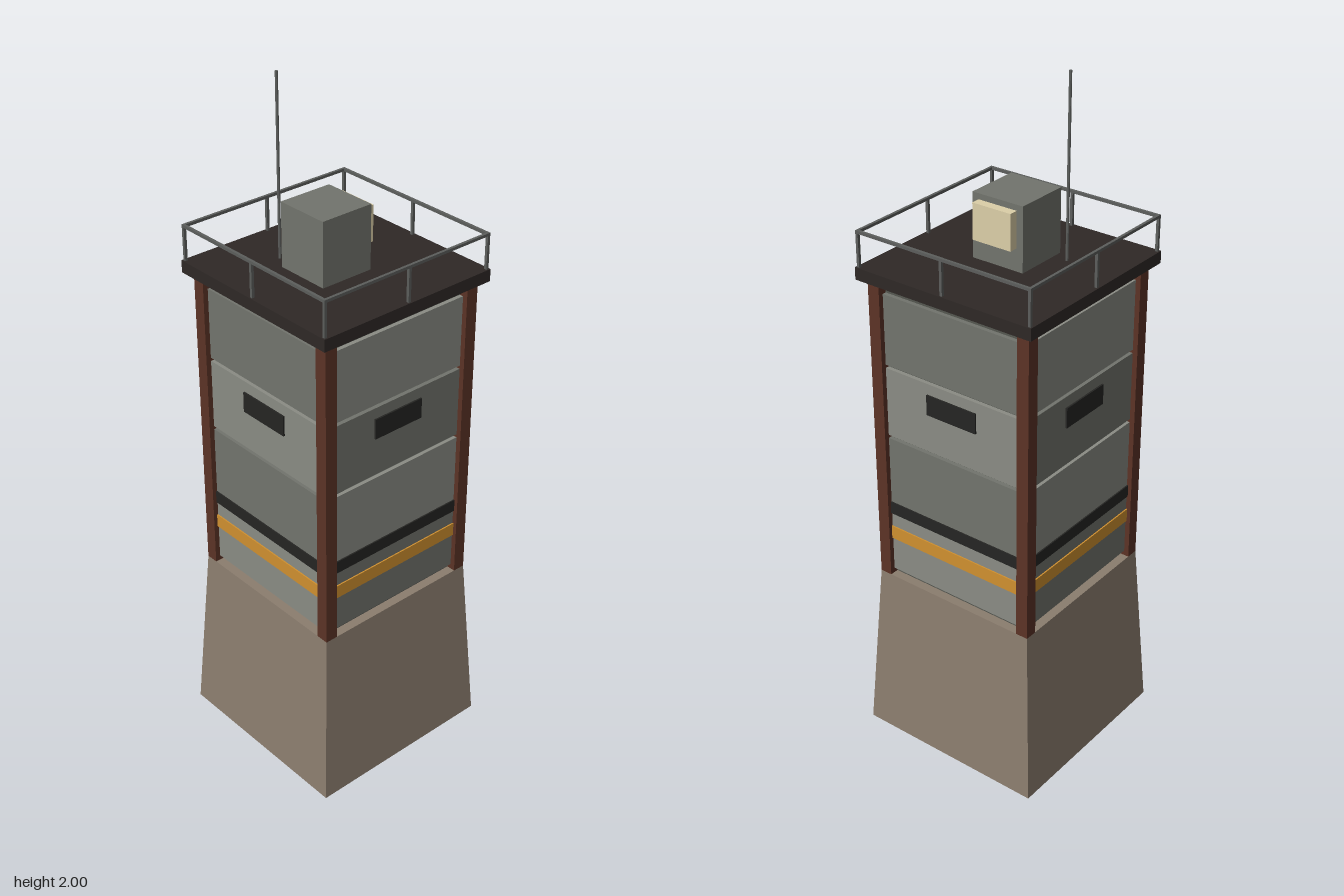
import * as THREE from 'three';

const mat = (color) => new THREE.MeshStandardMaterial({ color, flatShading: true });
const M = {
  stone: mat(0x8b7d6e), rust: mat(0x5c3326), roof: mat(0x2e2826), light: mat(0x8a8c84),
  grey: mat(0x72746d), seam: mat(0x555751), black: mat(0x252523), orange: mat(0xd0902f),
  rail: mat(0x5c5e5c), lamp: mat(0xdccfa8),
};

// Box given by its size and centre
function box(parent, name, material, [w, h, d], [x, y, z]) {
  const mesh = new THREE.Mesh(new THREE.BoxGeometry(w, h, d), material);
  mesh.name = name;
  mesh.position.set(x, y, z);
  parent.add(mesh);
  return mesh;
}

// One tower wall, facing +z; shades alternate upwards
function createWall(name, firstShade, secondShade) {
  const wall = new THREE.Group();
  wall.name = name;
  const rows = [[0.55, 0.765], [0.775, 0.983], [0.993, 1.2], [1.21, 1.418]];
  rows.forEach(([y0, y1], i) => {
    box(wall, 'wallPanel', i % 2 ? secondShade : firstShade,
      [0.45, y1 - y0, 0.012], [0, (y0 + y1) / 2, 0.241]);
  });
  box(wall, 'darkStripe', M.black, [0.45, 0.037, 0.016], [0, 0.758, 0.243]);
  box(wall, 'orangeStripe', M.orange, [0.45, 0.04, 0.016], [0, 0.676, 0.243]);
  box(wall, 'windowSlit', M.black, [0.164, 0.06, 0.018], [0, 1.138, 0.243]);
  return wall;
}

export function createModel() {
  const tower = new THREE.Group();
  tower.name = 'watchtower';

  // Tapered square plinth
  const baseGeo = new THREE.CylinderGeometry(0.262 * Math.SQRT2, 0.295 * Math.SQRT2, 0.535, 4);
  baseGeo.rotateY(Math.PI / 4);
  const base = new THREE.Mesh(baseGeo, M.stone);
  base.name = 'base';
  base.position.y = 0.2675;
  tower.add(base);

  // Core behind the panels, showing in the seams
  box(tower, 'core', M.seam, [0.47, 0.92, 0.47], [0, 0.995, 0]);

  // Four walls, with the shades swapped on the sides
  for (let i = 0; i < 4; i++) {
    const wall = i % 2 ? createWall('sideWall', M.light, M.grey)
      : createWall('frontBackWall', M.grey, M.light);
    wall.rotation.y = i * Math.PI / 2;
    tower.add(wall);
  }

  // Corner posts
  for (const x of [-1, 1]) for (const z of [-1, 1]) {
    box(tower, 'cornerPost', M.rust, [0.037, 0.922, 0.037], [x * 0.2435, 0.996, z * 0.2435]);
  }

  // Roof slab
  box(tower, 'roof', M.roof, [0.568, 0.035, 0.568], [0, 1.4735, 0]);

  // Railing: a bar, a corner post and a middle post per side
  const railing = new THREE.Group();
  railing.name = 'railing';
  for (let i = 0; i < 4; i++) {
    const side = new THREE.Group();
    side.name = 'railingSide';
    box(side, 'topRail', M.rail, [0.56, 0.008, 0.008], [0, 1.59, 0.276]);
    for (const x of [0, 0.276]) {
      box(side, 'railPost', M.rail, [0.008, 0.1, 0.008], [x, 1.54, 0.276]);
    }
    side.rotation.y = i * Math.PI / 2;
    railing.add(side);
  }
  tower.add(railing);

  // Searchlight housing and lens
  box(tower, 'lampHousing', M.grey, [0.162, 0.185, 0.162], [-0.031, 1.5825, 0]);
  box(tower, 'lampLens', M.lamp, [0.026, 0.103, 0.122], [0.063, 1.607, 0]);

  // Antenna
  const antenna = new THREE.Mesh(new THREE.CylinderGeometry(0.004, 0.004, 0.51, 8), M.rail);
  antenna.name = 'antenna';
  antenna.position.set(-0.083, 1.745, -0.124);
  tower.add(antenna);

  return tower;
}
